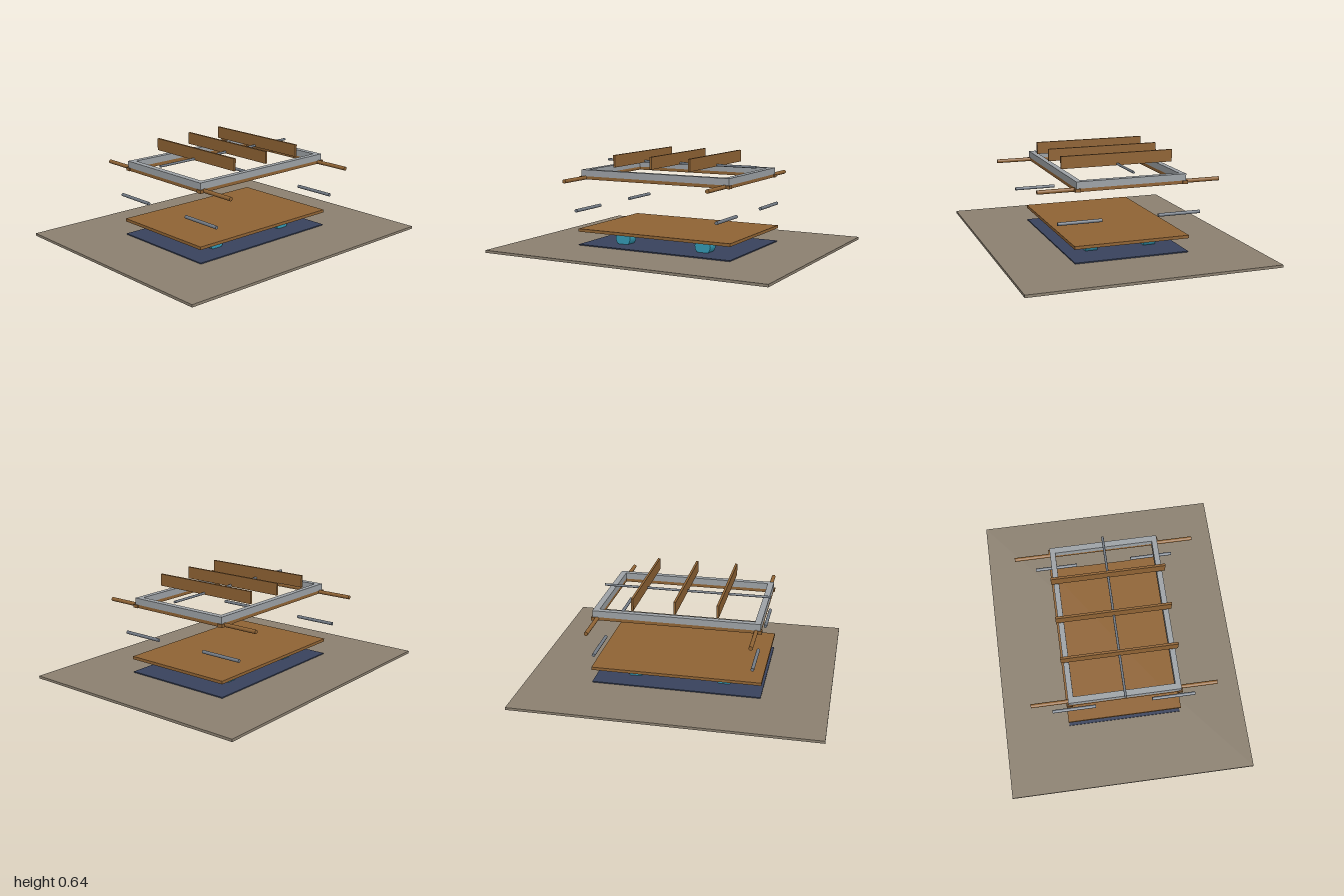
import * as THREE from 'three';

const mat = (color) => new THREE.MeshStandardMaterial({ color });

export function createModel() {
  const model = new THREE.Group();
  const wood = mat(0x8f6334), stone = mat(0x8b8070), navy = mat(0x38425c);
  const teal = mat(0x3399b3), alloy = mat(0x9da2a6), steel = mat(0x737b85);

  const add = (name, geometry, material, x, y, z) => {
    const mesh = new THREE.Mesh(geometry, material);
    mesh.name = name;
    mesh.position.set(x, y, z);
    model.add(mesh);
    return mesh;
  };
  const box = (name, w, h, d, material, x, y, z) =>
    add(name, new THREE.BoxGeometry(w, h, d), material, x, y, z);
  // Cylinder lying along z
  const rodZ = (name, r, length, material, x, y, z, sides = 20) =>
    add(name, new THREE.CylinderGeometry(r, r, length, sides).rotateX(Math.PI / 2), material, x, y, z);
  // Rectangular ring lying flat, with its underside at y
  const ring = (name, hx, hz, inX, inZ, h, material, y) => {
    const rect = (path, a, b) =>
      path.moveTo(-a, -b).lineTo(a, -b).lineTo(a, b).lineTo(-a, b).closePath();
    const shape = rect(new THREE.Shape(), hx, hz);
    shape.holes.push(rect(new THREE.Path(), inX, inZ));
    const geometry = new THREE.ExtrudeGeometry(shape, { depth: h, bevelEnabled: false });
    add(name, geometry.rotateX(-Math.PI / 2), material, 0, y, 0);
  };

  // Ground slab, thin mat and lower board
  box('baseSlab', 2, 0.017, 1.63, stone, 0, 0.0085, 0);
  box('mat', 1.12, 0.007, 0.76, navy, 0, 0.0205, 0);
  box('board', 1.124, 0.02, 0.764, wood, 0, 0.12, 0);

  // Frame: metal ring above a wooden ring
  ring('metalFrame', 0.543, 0.363, 0.503, 0.327, 0.043, alloy, 0.485);
  ring('woodFrame', 0.543, 0.363, 0.503, 0.327, 0.021, wood, 0.464);

  // Parts repeated in the four corners
  for (const sx of [-1, 1]) {
    for (const sz of [-1, 1]) {
      rodZ('roller', 0.056, 0.08, teal, sx * 0.3, 0.065, sz * 0.2, 32);
      rodZ('steelPin', 0.011, 0.288, steel, sx * 0.513, 0.267, sz * 0.332);
      rodZ('handle', 0.013, 0.54, wood, sx * 0.514, 0.475, sz * 0.333);
      box('cornerBlock', 0.035, 0.021, 0.035, wood, sx * 0.534, 0.4745, sz * 0.355);
    }
  }

  // Upright slats threaded on a crossbar
  for (const x of [-0.274, 0, 0.274]) {
    box('slat', 0.015, 0.08, 0.757, wood, x, 0.597, 0);
  }
  const bar = add('crossbar', new THREE.CylinderGeometry(0.008, 0.008, 1.124, 16), steel, 0, 0.565, 0);
  bar.rotation.z = Math.PI / 2;

  return model;
}
